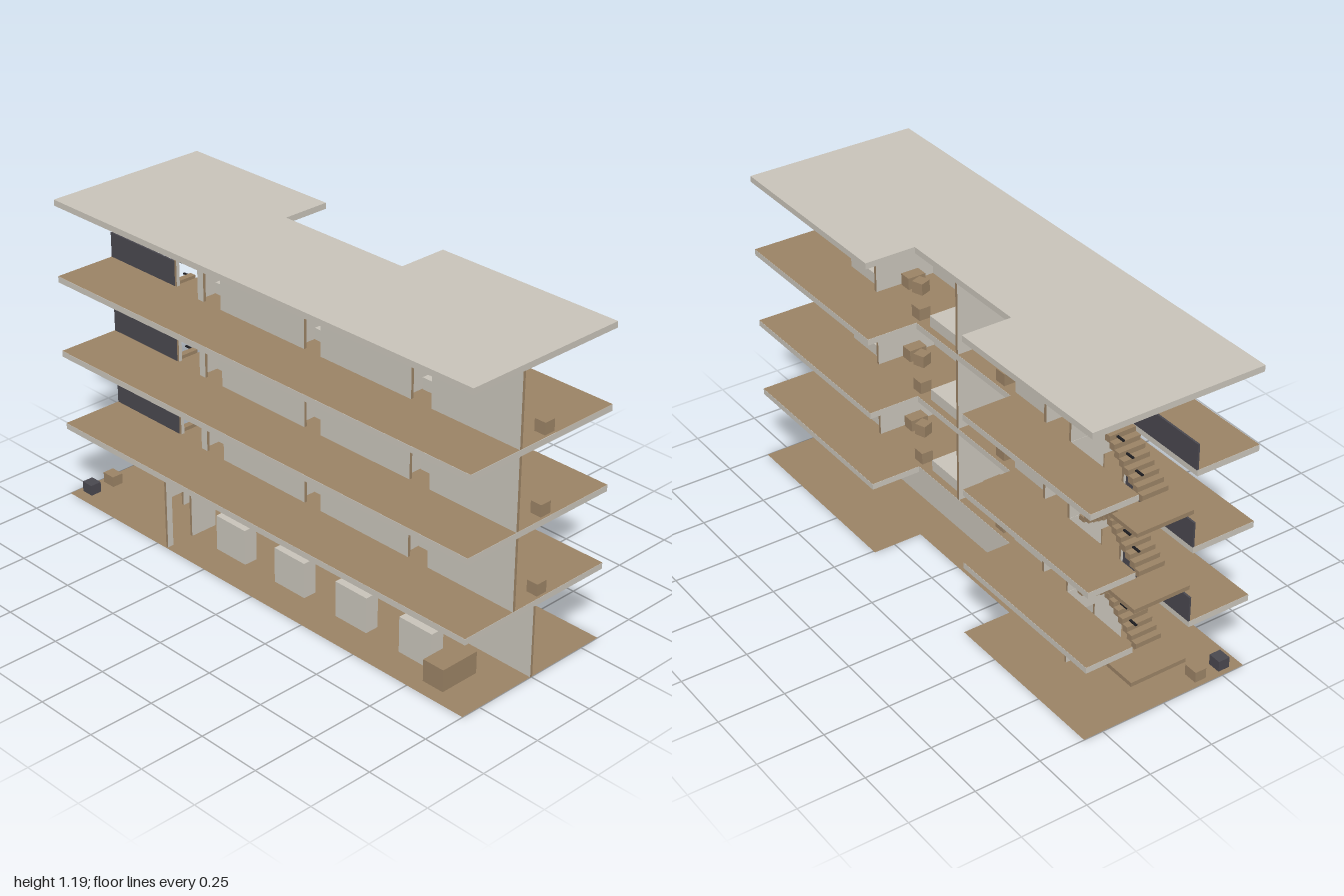
import * as THREE from 'three';

const mat = (name, color, side = THREE.FrontSide) => {
  const m = new THREE.MeshStandardMaterial({ color, side });
  m.name = name;
  return m;
};

export function createModel() {
  const pale = mat('pale plaster', 0xc9c4ba);
  const wood = mat('brown wood', 0x9b8365);
  const woodSheet = mat('brown floor', 0x9b8365, THREE.DoubleSide);
  const dark = mat('dark panel', 0x4a484f);
  const black = mat('black rail', 0x1c1c20);

  const model = new THREE.Group();
  model.name = 'building';

  // Box given by its limits along each axis
  const box = (parent, name, material, x0, x1, y0, y1, z0, z1) => {
    const mesh = new THREE.Mesh(new THREE.BoxGeometry(x1 - x0, y1 - y0, z1 - z0), material);
    mesh.position.set((x0 + x1) / 2, (y0 + y1) / 2, (z0 + z1) / 2);
    mesh.name = name;
    parent.add(mesh);
    return mesh;
  };
  // Walls are plaster with brown end faces
  const endsX = [wood, wood, pale, pale, pale, pale];
  const endsZ = [pale, pale, pale, pale, wood, wood];

  // Floor outline with the side recess, optionally with a stairwell cut in the back
  const outline = (stairwell) => {
    const pts = [[-0.33, 1], [0.335, 1], [0.335, 0.24], [0.14, 0.24], [0.14, -0.32], [0.33, -0.32], [0.325, -1]];
    if (stairwell) pts.push([0.14, -1], [0.14, -0.65], [-0.09, -0.65], [-0.09, -1]);
    pts.push([-0.34, -1]);
    return new THREE.Shape(pts.map(([x, z]) => new THREE.Vector2(x, -z)));
  };
  const sheet = (parent, name, y, stairwell) => {
    const mesh = new THREE.Mesh(new THREE.ShapeGeometry(outline(stairwell)).rotateX(-Math.PI / 2), woodSheet);
    mesh.position.y = y;
    mesh.name = name;
    parent.add(mesh);
  };
  const slab = (parent, name, y0, y1, stairwell) => {
    const geo = new THREE.ExtrudeGeometry(outline(stairwell), { depth: y1 - y0, bevelEnabled: false });
    const mesh = new THREE.Mesh(geo.rotateX(-Math.PI / 2), pale);
    mesh.position.y = y0;
    mesh.name = name;
    parent.add(mesh);
  };

  // Cross wall with a doorway between d0 and d1
  const doorWallX = (parent, name, x0, x1, d0, d1, y, top, z) => {
    box(parent, name, endsX, x0, d0, y, top, z - 0.005, z + 0.005);
    box(parent, name, endsX, d1, x1, y, top, z - 0.005, z + 0.005);
    box(parent, name + 'Lintel', pale, d0, d1, y + 0.2, top, z - 0.005, z + 0.005);
  };

  // Two flights, a landing and broken handrails climbing one storey
  const stairs = (y, rise) => {
    const g = new THREE.Group();
    g.name = 'stairs';
    const n = 8, run = 0.2 / n, h = rise / 2 / n;
    for (let i = 0; i < n; i++) {
      const zA = -0.67 - i * run, yA = y + (i + 1) * h;
      box(g, 'lowerStep', wood, 0.03, 0.115, Math.max(y, yA - 0.026), yA, zA - run, zA);
      const zB = -0.87 + i * run, yB = y + rise / 2 + (i + 1) * h;
      box(g, 'upperStep', wood, -0.085, 0.02, yB - 0.026, yB, zB, zB + run);
      if (i % 2 === 0) {
        box(g, 'lowerRail', black, 0.118, 0.126, yA + 0.078, yA + 0.083, zA - 0.034, zA);
        box(g, 'upperRail', black, 0.018, 0.026, yB + 0.078, yB + 0.083, zB, zB + 0.034);
      }
    }
    box(g, 'landing', wood, -0.085, 0.14, y + rise / 2 - 0.016, y + rise / 2, -1, -0.87);
    model.add(g);
  };

  // Ground floor
  const ground = new THREE.Group();
  ground.name = 'groundFloor';
  model.add(ground);
  const ceil = 0.276;
  sheet(ground, 'groundPlate', 0.001, false);
  box(ground, 'spineWall', endsZ, -0.005, 0.005, 0, ceil, -0.64, 1);
  doorWallX(ground, 'entranceWall', -0.33, -0.102, -0.305, -0.215, 0, ceil, -0.455);
  doorWallX(ground, 'stairWall', -0.092, 0.14, 0.025, 0.115, 0, ceil, -0.645);
  for (const z of [0.67, 0.365, 0.06, -0.245])
    box(ground, 'cabinet', pale, -0.21, -0.155, 0, 0.14, z - 0.075, z + 0.075);
  box(ground, 'receptionDesk', wood, -0.275, -0.115, 0, 0.086, 0.77, 0.86);
  box(ground, 'brownBin', wood, -0.195, -0.15, 0, 0.042, -0.98, -0.925);
  box(ground, 'darkBin', dark, -0.295, -0.25, 0, 0.042, -0.98, -0.93);

  // Upper floors
  const floors = [0.299, 0.596, 0.893];
  let below = 0;
  for (const y of floors) {
    const f = new THREE.Group();
    f.name = 'upperFloor';
    model.add(f);
    const top = y + 0.273;
    slab(f, 'floorSlab', y - 0.024, y - 0.001, true);
    sheet(f, 'floorCovering', y, true);
    stairs(below, y - below);
    below = y;

    // Corridor wall with three doorways
    const cuts = [1, 0.62, 0.53, 0.11, 0.03, -0.39, -0.48, -0.51];
    for (let i = 0; i < cuts.length - 1; i++) {
      const door = i % 2 === 1;
      box(f, door ? 'corridorLintel' : 'corridorWall', door ? pale : endsZ,
        -0.107, -0.096, door ? y + 0.207 : y, top, cuts[i + 1], cuts[i]);
    }
    for (const z of [0.498, -0.007, -0.511])
      box(f, 'roomWall', endsX, -0.096, 0.14, y, top, z - 0.006, z + 0.006);
    doorWallX(f, 'stairWall', -0.092, 0.14, -0.078, 0.015, y, top, -0.645);
    box(f, 'balustrade', dark, -0.094, -0.087, y, y + 0.096, -1, -0.65);

    // Room furniture
    [0.505, 0, -0.504].forEach((z, i) => {
      box(f, 'bed', pale, -0.03, 0.115, y, y + 0.043, z + 0.001, z + 0.193);
      box(f, 'bedsideTable', wood, -0.085, -0.04, y, y + 0.045, z + 0.13, z + 0.175);
      if (i === 0) {
        box(f, 'stool', wood, 0.02, 0.065, y, y + 0.045, 0.945, 0.99);
        return;
      }
      box(f, 'stool', wood, 0.08, 0.125, y, y + 0.045, z + 0.242, z + 0.29);
      box(f, 'desk', wood, -0.03, 0.04, y, y + 0.045, z + 0.44, z + 0.487);
      const chair = box(f, 'chair', wood, -0.022, 0.022, y, y + 0.045, z + 0.386, z + 0.43);
      chair.position.x = 0.01;
      chair.rotation.y = 0.35;
    });
  }

  // Roof
  slab(model, 'roof', 1.165, 1.188, false);

  return model;
}
